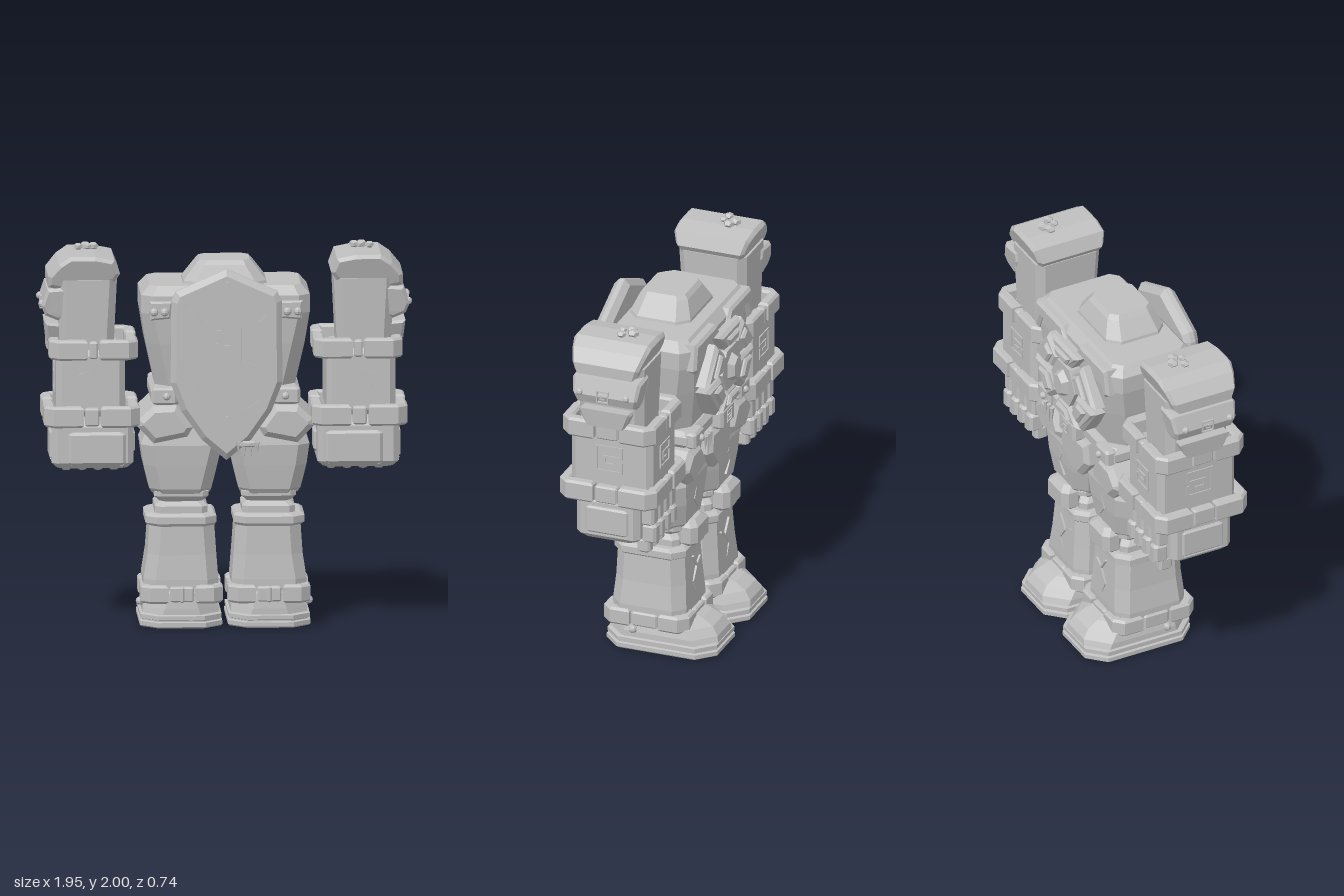
import * as THREE from 'three';
import { mergeGeometries } from 'three/addons/utils/BufferGeometryUtils.js';

const stone = new THREE.MeshStandardMaterial({ color: 0xbfbfbf });
stone.name = 'stone';

// flat facets on every piece
function facet(geo) {
  const g = geo.index ? geo.toNonIndexed() : geo;
  g.deleteAttribute('uv');
  g.computeVertexNormals();
  return g;
}
function add(group, name, geo) {
  const m = new THREE.Mesh(facet(geo), stone);
  m.name = name;
  group.add(m);
  return m;
}
// stack of chamfered rectangles, rings: [y, x0, x1, z0, z1, chamfer]
function loft(rings) {
  const P = rings.map(([y, a, b, c, d, k]) =>
    [[b - k, d], [b, d - k], [b, c + k], [b - k, c], [a + k, c], [a, c + k], [a, d - k], [a + k, d]].map(([x, z]) => [x, y, z]));
  const v = [];
  const tri = (...t) => t.forEach(p => v.push(...p));
  for (let r = 0; r + 1 < P.length; r++) for (let i = 0; i < 8; i++) {
    const j = (i + 1) % 8, lo = P[r], hi = P[r + 1];
    tri(lo[i], lo[j], hi[j]);
    tri(lo[i], hi[j], hi[i]);
  }
  const bot = P[0], top = P[P.length - 1];
  for (let i = 1; i < 7; i++) { tri(top[0], top[i], top[i + 1]); tri(bot[0], bot[i + 1], bot[i]); }
  const g = new THREE.BufferGeometry();
  g.setAttribute('position', new THREE.Float32BufferAttribute(v, 3));
  return g;
}
// chamfered box given by its limits
function block(x0, x1, y0, y1, z0, z1, b = 0.015) {
  return loft([[y0, x0 + b, x1 - b, z0 + b, z1 - b, b], [y0 + b, x0, x1, z0, z1, b],
    [y1 - b, x0, x1, z0, z1, b], [y1, x0 + b, x1 - b, z0 + b, z1 - b, b]]);
}
// bevelled outline in x,y spanning z0..z1
function plate(pts, z0, z1, b = 0.015) {
  const s = new THREE.Shape(pts.map(p => new THREE.Vector2(...p)));
  return new THREE.ExtrudeGeometry(s, { depth: z1 - z0 - 2 * b, bevelThickness: b, bevelSize: b, bevelOffset: -b, bevelSegments: 1 }).translate(0, 0, z0 + b);
}
// thin raised line through points in the x,y plane
function stroke(pts, w = 0.01, t = 0.012) {
  const parts = [];
  for (let i = 0; i + 1 < pts.length; i++) {
    const [x, y] = pts[i], dx = pts[i + 1][0] - x, dy = pts[i + 1][1] - y;
    parts.push(new THREE.BoxGeometry(Math.hypot(dx, dy) + w, w, t).rotateZ(Math.atan2(dy, dx)).translate(x + dx / 2, y + dy / 2, 0));
  }
  return mergeGeometries(parts);
}
const spiral = s => stroke([[-1, -.2], [-1, -1], [1, -1], [1, 1], [-1, 1], [-1, .2], [.4, .2], [.4, -.4], [-.3, -.4]].map(p => p.map(c => c * s)), s * .18);
const rivet = (x, y, z, r = 0.02) => new THREE.SphereGeometry(r, 8, 6).translate(x, y, z);
// narrow an extruded piece along z toward its lower end
function taper(geo, zc, y0, y1, k) {
  const p = geo.attributes.position;
  for (let i = 0; i < p.count; i++) {
    const t = THREE.MathUtils.clamp((p.getY(i) - y0) / (y1 - y0), 0, 1);
    p.setZ(i, zc + (p.getZ(i) - zc) * (k + (1 - k) * t));
  }
  return geo;
}
// strap of four corner pieces with clips between them
function band(group, name, cx, cz, W, D, y0, y1, gx, gz) {
  const t = 0.06, c = 0.05;
  for (const sx of [-1, 1]) for (const sz of [-1, 1]) {
    const L = [[gx, D], [W - c, D], [W, D - c], [W, gz], [W - t, gz], [W - t, D - t], [gx, D - t]].map(([x, z]) => [x * sx, z * sz]);
    add(group, name + 'Corner', plate(L, y0, y1, 0.012).rotateX(-Math.PI / 2).translate(cx, 0, cz));
  }
  for (const s of [-1, 1]) {
    const z = cz + s * (D - 0.03), x = cx + s * (W - 0.03);
    add(group, name + 'Clip', block(cx - gx + .008, cx + gx - .008, y0 + .008, y1 - .008, z - .025, z + .025, .008));
    add(group, name + 'Clip', block(x - .025, x + .025, y0 + .008, y1 - .008, cz - gz + .008, cz + gz - .008, .008));
  }
}
// copy of a group on the other side of x = 0
function mirrored(group, name) {
  const out = new THREE.Group();
  out.name = name;
  for (const m of group.children) {
    const g = m.geometry.clone(), a = g.attributes.position.array;
    for (let i = 0; i < a.length; i += 9) for (let k = 0; k < 3; k++) {
      const f = k ? 1 : -1, q = a[i + 3 + k];
      a[i + k] *= f; a[i + 3 + k] = a[i + 6 + k] * f; a[i + 6 + k] = q * f;
    }
    add(out, m.name, g);
  }
  return out;
}

function buildArm() {
  const g = new THREE.Group(); g.name = 'rightArm';
  add(g, 'upperArm', loft([[1.42, -.86, -.585, -.15, .2, .04], [1.84, -.88, -.565, -.16, .22, .04]]));
  const cap = [[-.925, 1.8], [-.925, 1.86], [-.87, 1.925], [-.81, 1.965], [-.68, 1.965], [-.58, 1.945], [-.55, 1.87], [-.58, 1.825], [-.74, 1.8], [-.81, 1.775]];
  add(g, 'shoulderCap', taper(plate(cap, -.185, .25, .02), .035, 1.78, 1.95, .74));
  const upper = [[-.96, 1.7], [-.93, 1.79], [-.8, 1.8], [-.79, 1.74], [-.82, 1.65], [-.87, 1.62], [-.94, 1.65]];
  add(g, 'shoulderPlate', taper(plate(upper, -.17, .21), .02, 1.62, 1.75, .85));
  const lower = [[-.94, 1.61], [-.83, 1.6], [-.8, 1.53], [-.88, 1.49], [-.93, 1.51]];
  add(g, 'lowerShoulderPlate', taper(plate(lower, -.12, .18), .03, 1.49, 1.61, .65));
  for (const z of [-.1, .16]) add(g, 'rivet', rivet(-.955, 1.71, z));
  add(g, 'shoulderPattern', spiral(.03).rotateY(-Math.PI / 2).translate(-.957, 1.7, .03));
  // forearm and its carvings
  add(g, 'forearm', block(-.885, -.525, 1.12, 1.47, -.215, .24, .03));
  add(g, 'forearmCarving', spiral(.07).rotateY(-Math.PI / 2).translate(-.885, 1.31, .02));
  add(g, 'forearmCarving', spiral(.06).rotateY(Math.PI).translate(-.7, 1.31, -.215));
  add(g, 'forearmCrack', stroke([[-.81, 1.39], [-.77, 1.34], [-.71, 1.36]]).translate(0, 0, .24));
  add(g, 'forearmCrack', stroke([[-.77, 1.34], [-.75, 1.29], [-.79, 1.23]]).translate(0, 0, .24));
  band(g, 'upperBand', -.69, .025, .232, .26, 1.425, 1.53, .03, .07);
  band(g, 'lowerBand', -.698, .02, .25, .272, 1.07, 1.18, .045, .07);
  // fist
  add(g, 'fist', block(-.905, -.48, .84, 1.09, -.15, .205, .03));
  add(g, 'handBackPlate', block(-.82, -.52, .86, 1.035, .18, .225, .015));
  add(g, 'handSidePlate', block(-.915, -.88, .88, 1.04, -.1, .15));
  add(g, 'thumb', block(-.5, -.465, .9, 1.02, -.13, .07));
  for (let i = 0; i < 4; i++) {
    const x = -.815 + i * .083;
    add(g, 'fingerBase', block(x - .038, x + .038, .94, 1.06, -.215, -.13));
    add(g, 'fingerMiddle', block(x - .034, x + .034, .84, .95, -.225, -.14));
    add(g, 'fingerTip', block(x - .028, x + .028, .78, .86, -.19, -.115, .012));
  }
  // loose pebbles on the cap
  for (const [x, z, r] of [[-.72, -.05, .032], [-.68, -.03, .03], [-.76, 0, .026], [-.71, .01, .022]])
    add(g, 'pebble', new THREE.DodecahedronGeometry(r).scale(1, .7, 1).translate(x, 2 - r * .66, z));
  return g;
}

function buildLeg() {
  const g = new THREE.Group(); g.name = 'rightLeg';
  const c = .06;
  add(g, 'thigh', loft([[.7, -.38, -.08, -.17, .17, c], [.725, -.395, -.07, -.19, .185, c], [.85, -.425, -.04, -.205, .2, c], [.96, -.44, -.015, -.21, .21, c], [1.06, -.4, -.02, -.19, .19, c]]));
  add(g, 'kneeLower', block(-.365, -.09, .56, .66, -.155, .155, .03));
  add(g, 'kneeUpper', block(-.37, -.085, .655, .74, -.165, .165, .03));
  add(g, 'kneePad', block(-.33, -.125, .58, .73, -.245, -.13, .03));
  add(g, 'shin', loft([[.15, -.425, -.035, -.205, .205, c], [.25, -.425, -.035, -.205, .205, c], [.38, -.405, -.045, -.195, .195, c], [.53, -.395, -.055, -.185, .19, c], [.545, -.415, -.045, -.2, .2, c], [.58, -.415, -.045, -.2, .2, c], [.595, -.395, -.06, -.18, .18, c]]));
  add(g, 'shinCrack', stroke([[-.25, .5], [-.2, .43], [-.25, .36], [-.22, .3]]).translate(0, 0, -.198));
  add(g, 'shinCrack', stroke([[-.2, .43], [-.15, .46]]).translate(0, 0, -.195));
  add(g, 'thighCrack', stroke([[-.28, .95], [-.22, .9], [-.25, .84], [-.2, .78]]).translate(0, 0, -.203));
  band(g, 'ankleBand', -.228, .005, .215, .24, .13, .225, .07, .08);
  add(g, 'ankleClip', block(-.24, -.215, .135, .22, .2, .25, .008));
  add(g, 'ankleRivet', rivet(-.44, .12, .065, .022));
  // boot
  const sole = (y, i) => [y, -.445 + i, -.015 - i, -.375 + i, .245 - i, .09];
  add(g, 'sole', loft([sole(0, .008), sole(.008, 0), sole(.03, 0), sole(.034, .012), sole(.04, .012), sole(.044, .003), sole(.065, .003), sole(.07, .015)]));
  add(g, 'boot', loft([[.065, -.43, -.03, -.368, .23, .1], [.1, -.428, -.032, -.362, .23, .11], [.145, -.415, -.045, -.33, .225, .11], [.18, -.395, -.065, -.27, .22, .1], [.2, -.37, -.09, -.21, .2, .08]]));
  return g;
}

// guards, straps and studs repeated on both sides of the trunk
function buildTrunkSide() {
  const g = new THREE.Group(); g.name = 'rightTrunkPlates';
  add(g, 'hipGuard', plate([[-.38, 1.17], [-.255, 1.175], [-.17, 1.06], [-.2, 1.01], [-.375, .975], [-.46, 1.065], [-.455, 1.1]], -.25, .245, .03));
  for (const s of [-1, 1]) {
    add(g, 'beltTab', block(-.385, -.255, 1.185, 1.275, s > 0 ? .2 : -.265, s > 0 ? .265 : -.2, .012));
    add(g, 'beltRivet', rivet(-.31, 1.23, s * .268));
  }
  add(g, 'shoulderStrap', plate([[-.4, 1.73], [-.28, 1.73], [-.29, 1.64], [-.395, 1.63]], .2, .262, .01));
  for (const x of [-.375, -.32]) add(g, 'strapRivet', rivet(x, 1.675, .262, .022));
  add(g, 'collarPlate', plate([[-.06, 1.73], [-.1, 1.79], [-.385, 1.79], [-.41, 1.65], [-.37, 1.62], [-.33, 1.71]], -.275, -.18, .015));
  return g;
}

export function createModel() {
  const root = new THREE.Group(); root.name = 'stoneGuardian';
  // trunk
  add(root, 'torso', loft([[1.15, -.34, .34, -.19, .18, .07], [1.27, -.365, .365, -.205, .195, .07], [1.5, -.415, .415, -.24, .23, .07], [1.66, -.44, .44, -.255, .245, .06], [1.755, -.44, .44, -.255, .245, .06], [1.805, -.395, .395, -.21, .205, .04]]));
  add(root, 'head', loft([[1.78, -.225, .225, -.15, .195, .06], [1.82, -.215, .215, -.145, .19, .06], [1.905, -.15, .15, -.11, .155, .045], [1.928, -.13, .13, -.09, .14, .035]]));
  add(root, 'belt', block(-.39, .39, 1.18, 1.275, -.24, .235, .025));
  add(root, 'pelvis', loft([[.92, -.2, .2, -.14, .14, .05], [1.02, -.34, .34, -.2, .19, .06], [1.2, -.35, .35, -.2, .19, .06]]));

  // belt buckle and front tabard plate
  add(root, 'buckle', block(-.085, .085, 1.17, 1.285, -.3, -.22));
  add(root, 'bucklePattern', spiral(.03).rotateY(Math.PI).translate(0, 1.228, -.3));
  add(root, 'tabard', plate([[-.13, 1.17], [.13, 1.17], [.15, 1.05], [.06, .94], [-.06, .94], [-.15, 1.05]], -.26, -.17, .025));

  // chest medallion: ring of wedges around a cut gem
  for (let i = 0; i < 6; i++) {
    const a0 = i * Math.PI / 3 + .07, a1 = (i + 1) * Math.PI / 3 - .07;
    const pt = (a, rx, ry) => [Math.cos(a) * rx, 1.51 + Math.sin(a) * ry];
    add(root, 'medallionWedge', plate([pt(a0, .13, .13), pt(a0, .33, .245), pt(a1, .33, .245), pt(a1, .13, .13)], -.315, -.2, .02));
    add(root, 'medallionRidge', plate([pt(a0 + .15, .17, .15), pt(a0 + .15, .26, .2), pt(a1 - .15, .26, .2), pt(a1 - .15, .17, .15)], -.335, -.28, .012));
  }
  add(root, 'gemSetting', new THREE.CylinderGeometry(.13, .13, .08, 6).rotateX(Math.PI / 2).rotateZ(Math.PI / 6).translate(0, 1.51, -.275));
  add(root, 'gem', new THREE.CylinderGeometry(.1, .06, .06, 6).rotateX(Math.PI / 2).scale(.85, 1, 1).translate(0, 1.51, -.32));

  // shield with carved lines
  const half = [[.13, 1.85], [.265, 1.79], [.288, 1.74], [.292, 1.31], [.235, 1.16], [.13, 1.01]];
  const outline = [[0, 1.908], ...half, [0, .9], ...half.map(([x, y]) => [-x, y]).reverse()];
  add(root, 'shield', plate(outline, .255, .342, .03));
  add(root, 'shieldCarving', spiral(.055).translate(.005, 1.53, .342));
  const cracks = [[[0, 1.84], [0, 1.65]], [[-.19, 1.69], [-.1, 1.6], [-.12, 1.53]], [[.08, 1.6], [.08, 1.43], [.22, 1.37]], [[-.19, 1.25], [-.07, 1.45]],
    [[-.17, 1.2], [-.11, 1.15]], [[.1, 1.17], [.18, 1.22]], [[0, 1.13], [0, .99]], [[.14, 1.6], [.21, 1.67]]];
  for (const c of cracks) add(root, 'shieldCrack', stroke(c, .01).translate(0, 0, .342));

  // hanging roots
  [[.06, .06], [.09, .1], [.125, .09], [.16, .06]].forEach(([x, h]) =>
    add(root, 'shieldRoot', new THREE.ConeGeometry(.013, h, 5).rotateX(Math.PI).translate(x, 1 - h / 2, .345)));
  add(root, 'rootClump', new THREE.DodecahedronGeometry(.03).scale(2.2, .6, .8).translate(.115, .99, .345));
  for (const [x, h] of [[.2, .1], [.235, .13], [.27, .08]])
    add(root, 'beltRoot', new THREE.ConeGeometry(.014, h, 5).rotateX(Math.PI).translate(x, 1.22 - h / 2, -.275));

  for (const [part, name] of [[buildArm(), 'leftArm'], [buildLeg(), 'leftLeg'], [buildTrunkSide(), 'leftTrunkPlates']])
    root.add(part, mirrored(part, name));
  return root;
}
